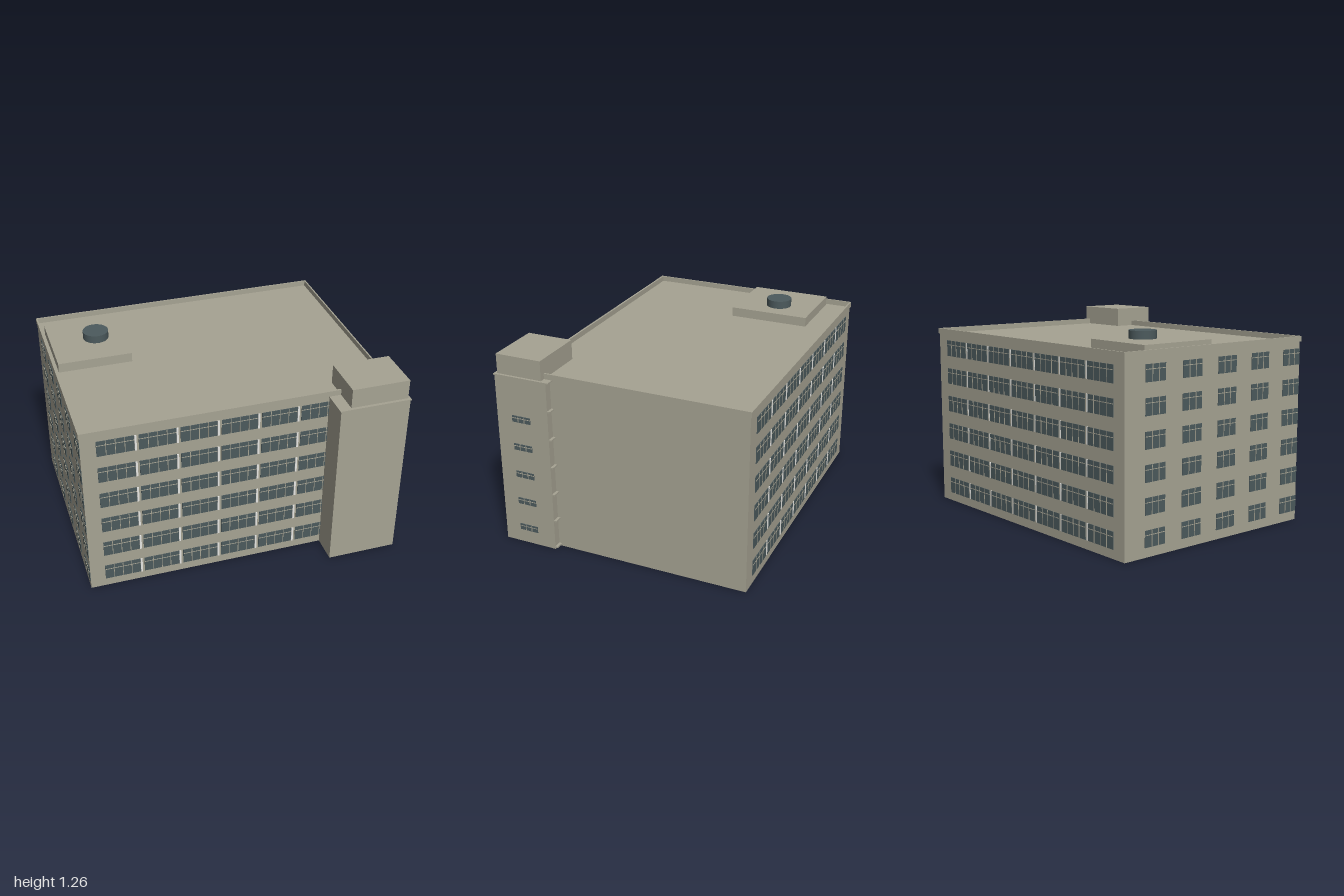
import * as THREE from 'three';
import { mergeGeometries } from 'three/addons/utils/BufferGeometryUtils.js';

const mat = (name, color) => new THREE.MeshStandardMaterial({ name, color });

export function createModel() {
  const concrete = mat('concrete', 0xa6a393);
  const glass = mat('slate glass', 0x4c5a5d);
  const white = mat('white pillar', 0xf4f4f0);
  const model = new THREE.Group();
  model.name = 'officeBlock';

  // Box given by its min and max corners
  const boxGeo = (x0, x1, y0, y1, z0, z1) =>
    new THREE.BoxGeometry(x1 - x0, y1 - y0, z1 - z0)
      .translate((x0 + x1) / 2, (y0 + y1) / 2, (z0 + z1) / 2);
  const box = (name, material, ...b) => {
    const mesh = new THREE.Mesh(boxGeo(...b), material);
    mesh.name = name;
    model.add(mesh);
    return mesh;
  };

  // Main block with a slightly overhanging parapet around a sunken roof
  box('mainBlock', concrete, -0.995, 0.94, 0, 1.14, -0.803, 0.625);
  const rim = (Path, x0, x1, y0, y1) => {
    const p = new Path();
    p.moveTo(x0, y0);
    p.lineTo(x1, y0);
    p.lineTo(x1, y1);
    p.lineTo(x0, y1);
    p.closePath();
    return p;
  };
  const parapetShape = rim(THREE.Shape, -1, 0.945, -0.635, 0.81);
  parapetShape.holes.push(rim(THREE.Path, -0.99, 0.935, -0.622, 0.8));
  const parapet = new THREE.Mesh(
    new THREE.ExtrudeGeometry(parapetShape, { depth: 0.035, bevelEnabled: false })
      .rotateX(-Math.PI / 2).translate(0, 1.14, 0), concrete);
  parapet.name = 'parapet';
  model.add(parapet);

  // Rooftop plinth and round vent
  box('roofPlinth', concrete, -0.97, -0.5, 1.14, 1.2, -0.64, -0.125);
  const vent = new THREE.Mesh(new THREE.CylinderGeometry(0.082, 0.082, 0.05, 32), glass);
  vent.name = 'roofVent';
  vent.position.set(-0.675, 1.225, -0.395);
  model.add(vent);

  // Stair tower, its top slab, upper room and rear floor ledges
  box('stairTower', concrete, 0.54, 0.99, 0, 1.132, 0.455, 0.805);
  box('towerSlab', concrete, 0.534, 0.996, 1.132, 1.14, 0.437, 0.81);
  box('towerRoom', concrete, 0.61, 0.98, 1.14, 1.265, 0.49, 0.79);
  for (let i = 0; i < 6; i++) {
    const y = 0.01 + i * 0.187;
    box('towerLedge', concrete, 0.93, 0.99, y, y + 0.009, 0.437, 0.46);
  }

  // Window geometry facing +z: a glass plate with mullions and a transom
  const windowParts = (w, h, panes, transom) => {
    const bars = [boxGeo(-w / 2, w / 2, transom - 0.002, transom + 0.002, 0, 0.006)];
    for (let i = 1; i < panes; i++) {
      const x = -w / 2 + (i * w) / panes;
      bars.push(boxGeo(x - 0.002, x + 0.002, 0, h, 0, 0.006));
    }
    return [boxGeo(-w / 2, w / 2, 0, h, -0.002, 0.004), mergeGeometries(bars)];
  };
  const wide = windowParts(0.226, 0.104, 4, 0.075);
  const side = windowParts(0.15, 0.1, 3, 0.072);
  const small = windowParts(0.125, 0.042, 3, 0.028);

  const addWindow = (name, parts, x, y, z, turn) => {
    const group = new THREE.Group();
    group.name = name;
    [glass, concrete].forEach((material, i) => {
      const mesh = new THREE.Mesh(parts[i], material);
      mesh.name = i ? 'windowBars' : 'windowPane';
      group.add(mesh);
    });
    group.position.set(x, y, z);
    group.rotation.y = turn;
    model.add(group);
  };

  for (let floor = 0; floor < 6; floor++) {
    const y = 0.056 + floor * 0.188;
    // Front and back window bands with white pillars between the bays
    for (let bay = 0; bay < 7; bay++) {
      const x = -0.787 + bay * 0.2525;
      const px = x + 0.12;
      if (bay < 6) {
        addWindow('frontWindow', wide, x, y, 0.625, 0);
        box('backPillar', white, px - 0.006, px + 0.006, y, y + 0.104, -0.807, -0.802);
      }
      if (bay < 5) box('frontPillar', white, px - 0.006, px + 0.006, y, y + 0.104, 0.624, 0.632);
      addWindow('backWindow', wide, x, y, -0.803, Math.PI);
    }
    // Windows on the x- end wall
    for (let k = 0; k < 5; k++)
      addWindow('endWindow', side, -0.995, y + 0.002, -0.58 + k * 0.282, -Math.PI / 2);
    // Small stair windows on the tower
    if (floor < 5) addWindow('towerWindow', small, 0.99, 0.088 + floor * 0.189, 0.638, Math.PI / 2);
  }
  return model;
}
